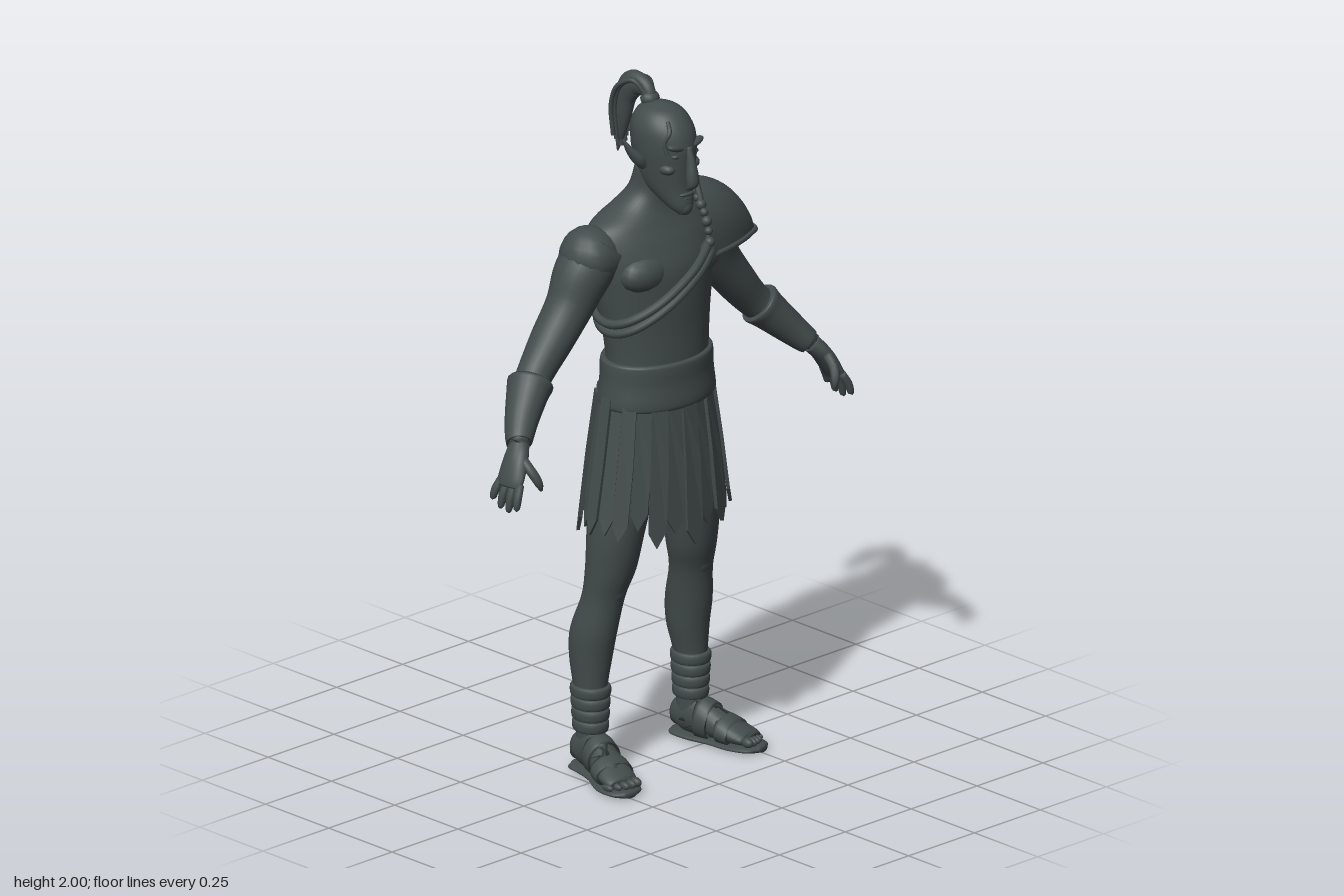
import * as THREE from 'three';

const V = (x, y, z) => new THREE.Vector3(x, y, z);
const skin = new THREE.MeshStandardMaterial({ color: 0x434b4b, side: THREE.DoubleSide });
skin.name = 'dark slate';

// Smooth closed loft through elliptical sections [x, y, z, a, b]; a lies along ref, b across it
function loft(sections, { ref = V(1, 0, 0), level = false, sides = 24, steps = 5, s = 1 } = {}) {
  const path = new THREE.CatmullRomCurve3(sections.map(p => V(p[0], p[1], p[2] * s)), false, 'catmullrom');
  const size = new THREE.CatmullRomCurve3(sections.map(p => V(p[3], p[4], 0)), false, 'catmullrom');
  const rings = (sections.length - 1) * steps, pos = [], idx = [];
  for (let i = 0; i <= rings; i++) {
    const k = i / rings, c = path.getPoint(k), r = size.getPoint(k);
    const t = level ? V(0, Math.sign(sections.at(-1)[1] - sections[0][1]), 0) : path.getTangent(k);
    const u = ref.clone().addScaledVector(t, -t.dot(ref)).normalize();
    const v = t.clone().cross(u);
    for (let j = 0; j < sides; j++) {
      const q = j / sides * Math.PI * 2;
      const p = c.clone().addScaledVector(u, r.x * Math.cos(q)).addScaledVector(v, r.y * Math.sin(q));
      pos.push(p.x, p.y, p.z);
      const n = (j + 1) % sides, a = i * sides;
      if (i < rings) idx.push(a + j, a + n, a + sides + n, a + j, a + sides + n, a + sides + j);
    }
  }
  const base = pos.length / 3, last = rings * sides;
  pos.push(...path.getPoint(0).toArray(), ...path.getPoint(1).toArray());
  for (let j = 0; j < sides; j++) {
    const n = (j + 1) % sides;
    idx.push(base, n, j, base + 1, last + j, last + n);
  }
  const g = new THREE.BufferGeometry();
  g.setAttribute('position', new THREE.Float32BufferAttribute(pos, 3));
  g.setIndex(idx);
  g.computeVertexNormals();
  return g;
}

// Torso sections: x centre, y, z, depth and width radii
const TORSO = [
  [-0.01, 0.88, 0, 0.08, 0.12], [0, 1.0, 0, 0.115, 0.165], [0.003, 1.1, 0, 0.118, 0.168],
  [0.006, 1.2, 0, 0.116, 0.162], [0, 1.3, 0, 0.119, 0.172], [-0.014, 1.4, 0, 0.134, 0.19],
  [-0.022, 1.48, 0, 0.138, 0.203], [-0.032, 1.55, 0, 0.122, 0.21], [-0.036, 1.6, 0, 0.1, 0.19],
  [-0.03, 1.645, 0, 0.077, 0.11], [-0.015, 1.69, 0, 0.062, 0.066], [0.005, 1.76, 0, 0.058, 0.06]];
function torsoAt(y) {
  const i = TORSO.findIndex(p => p[1] > y) - 1, A = TORSO[i], B = TORSO[i + 1];
  return A.map((a, k) => THREE.MathUtils.lerp(a, B[k], (y - A[1]) / (B[1] - A[1])));
}

export function createModel() {
  const model = new THREE.Group();
  model.name = 'warrior';
  const add = (name, geo) => {
    const m = new THREE.Mesh(geo, skin);
    m.name = name;
    model.add(m);
    return m;
  };
  const ball = (name, x, y, z, rx, ry = rx, rz = rx) => {
    const m = add(name, new THREE.SphereGeometry(1, 16, 12));
    m.position.set(x, y, z);
    m.scale.set(rx, ry, rz);
    return m;
  };
  const tube = (name, pts, r, closed = false, n = 24) =>
    add(name, new THREE.TubeGeometry(new THREE.CatmullRomCurve3(pts, closed), n, r, 8, closed));

  add('torso', loft(TORSO, { level: true, sides: 36 }));

  // Head and face
  add('head', loft([[0.112, 1.64, 0, 0.016, 0.018], [0.09, 1.665, 0, 0.045, 0.038], [0.05, 1.715, 0, 0.08, 0.06],
    [0.036, 1.78, 0, 0.098, 0.073], [0.032, 1.835, 0, 0.104, 0.079], [0.026, 1.885, 0, 0.094, 0.076],
    [0.02, 1.925, 0, 0.063, 0.052], [0.018, 1.942, 0, 0.012, 0.01]], { level: true, sides: 32 }));
  add('nose', loft([[0.127, 1.84, 0, 0.012, 0.01], [0.139, 1.8, 0, 0.015, 0.012],
    [0.146, 1.755, 0, 0.018, 0.018], [0.146, 1.73, 0, 0.016, 0.017], [0.136, 1.715, 0, 0.008, 0.012]], { level: true, sides: 14 }));
  ball('chin', 0.117, 1.66, 0, 0.02, 0.024, 0.022);
  ball('upperLip', 0.122, 1.7, 0, 0.014, 0.007, 0.027);
  ball('lowerLip', 0.12, 1.687, 0, 0.014, 0.007, 0.022);

  for (const s of [1, -1]) {
    const side = s > 0 ? 'right' : 'left';
    const part = (name, sections, o = {}) => add(side + name, loft(sections, { s, ...o }));
    const up = V(0, 1, 0);

    ball(side + 'Brow', 0.118, 1.84, 0.033 * s, 0.016, 0.011, 0.034).rotation.x = -0.25 * s;
    ball(side + 'Eye', 0.115, 1.815, 0.034 * s, 0.012, 0.008, 0.015);
    ball(side + 'Cheek', 0.092, 1.775, 0.045 * s, 0.028, 0.017, 0.022);
    part('Ear', [[0.025, 1.775, 0.066, 0.016, 0.016], [0.018, 1.797, 0.085, 0.022, 0.017],
      [0.008, 1.825, 0.107, 0.014, 0.01], [0, 1.857, 0.124, 0.002, 0.002]], { sides: 12 });
    ball(side + 'Pectoral', 0.056, 1.475, 0.09 * s, 0.054, 0.058, 0.09);

    // Arm, bracer and hand
    ball(side + 'Shoulder', -0.045, 1.525, 0.205 * s, 0.088, 0.085, 0.085);
    part('Arm', [[-0.04, 1.55, 0.17, 0.085, 0.08], [-0.048, 1.48, 0.23, 0.082, 0.08], [-0.052, 1.395, 0.278, 0.068, 0.066],
      [-0.053, 1.31, 0.345, 0.062, 0.058], [-0.048, 1.235, 0.41, 0.052, 0.05], [-0.028, 1.185, 0.462, 0.05, 0.046],
      [0.005, 1.13, 0.515, 0.038, 0.036], [0.038, 1.085, 0.556, 0.029, 0.027]]);
    part('Bracer', [[-0.043, 1.215, 0.432, 0.052, 0.048], [-0.042, 1.213, 0.434, 0.066, 0.062], [-0.03, 1.188, 0.458, 0.06, 0.055],
      [0, 1.135, 0.508, 0.048, 0.045], [0.03, 1.093, 0.547, 0.038, 0.036], [0.034, 1.089, 0.551, 0.03, 0.028]]);
    part('Palm', [[0.037, 1.09, 0.552, 0.029, 0.026], [0.052, 1.055, 0.58, 0.04, 0.024],
      [0.061, 1.01, 0.606, 0.046, 0.019], [0.063, 0.985, 0.617, 0.043, 0.014]], { sides: 16 });
    for (let i = 0; i < 4; i++) {
      const x = 0.027 + 0.024 * i, len = [0.045, 0.062, 0.066, 0.054][i];
      part('Finger', [[x, 1.0, 0.61, 0.012, 0.012], [x + (i - 1.2) * 0.005, 0.995 - len * 0.5, 0.627, 0.012, 0.012],
        [x + (i - 1.2) * 0.007, 0.995 - len, 0.634, 0.009, 0.009], [x + (i - 1.2) * 0.007, 0.99 - len, 0.634, 0.003, 0.003]],
        { sides: 8, steps: 3 });
    }
    part('Thumb', [[0.075, 1.06, 0.578, 0.014, 0.016], [0.108, 1.03, 0.573, 0.014, 0.014],
      [0.125, 1.0, 0.563, 0.012, 0.012], [0.128, 0.977, 0.556, 0.004, 0.004]], { sides: 10, steps: 3 });

    // Leg
    part('Leg', [[-0.01, 0.98, 0.09, 0.095, 0.08], [-0.01, 0.82, 0.122, 0.092, 0.088], [-0.01, 0.7, 0.143, 0.08, 0.079],
      [-0.018, 0.6, 0.153, 0.07, 0.071], [-0.033, 0.52, 0.166, 0.061, 0.06], [-0.056, 0.42, 0.18, 0.07, 0.061],
      [-0.064, 0.34, 0.184, 0.064, 0.056], [-0.06, 0.25, 0.19, 0.05, 0.044], [-0.058, 0.15, 0.19, 0.044, 0.036],
      [-0.06, 0.06, 0.19, 0.046, 0.04]], { level: true });
    ball(side + 'Kneecap', 0.008, 0.545, 0.163 * s, 0.026, 0.04, 0.034);
    // Ankle wraps
    for (let i = 0; i < 4; i++) {
      const y = 0.125 + i * 0.034, r = 0.05 + i * 0.002;
      part('AnkleWrap', [[-0.059, y, 0.19, r - 0.008, r - 0.013], [-0.059, y + 0.005, 0.19, r + 0.003, r - 0.004],
        [-0.059, y + 0.028, 0.19, r + 0.004, r - 0.003], [-0.059, y + 0.034, 0.19, r - 0.006, r - 0.011]], { level: true, steps: 3 });
    }
    // Foot and sandal
    part('Foot', [[-0.112, 0.045, 0.19, 0.022, 0.025], [-0.085, 0.065, 0.19, 0.05, 0.04], [-0.04, 0.075, 0.195, 0.06, 0.042],
      [0.01, 0.062, 0.208, 0.046, 0.044], [0.07, 0.045, 0.228, 0.031, 0.052], [0.115, 0.035, 0.242, 0.02, 0.048],
      [0.128, 0.033, 0.245, 0.012, 0.035]], { ref: up });
    part('Sole', [[-0.122, 0.011, 0.19, 0.009, 0.015], [-0.105, 0.011, 0.19, 0.011, 0.038], [-0.05, 0.011, 0.195, 0.011, 0.044],
      [0.01, 0.011, 0.21, 0.011, 0.046], [0.085, 0.011, 0.233, 0.011, 0.062], [0.14, 0.011, 0.247, 0.011, 0.05],
      [0.165, 0.011, 0.252, 0.009, 0.018]], { ref: up });
    for (let i = 0; i < 5; i++)
      ball(side + 'Toe', 0.142 - i * i * 0.0022, 0.033 - i * 0.002, (0.212 + i * 0.018) * s, 0.02, 0.014 - i * 0.001, i ? 0.0095 : 0.013);
    for (const [x, y, z, a, b] of [[-0.005, 0.065, 0.203, 0.056, 0.05], [0.06, 0.045, 0.225, 0.038, 0.057]])
      part('SandalStrap', [[x - 0.02, y + 0.004, z - 0.006, a, b - 0.004], [x - 0.016, y + 0.004, z - 0.005, a + 0.004, b],
        [x + 0.016, y - 0.004, z + 0.005, a - 0.002, b + 0.002], [x + 0.02, y - 0.004, z + 0.006, a - 0.006, b - 0.002]], { ref: up, steps: 3 });
  }

  // Topknot with loose strands
  ball('hairTie', -0.022, 1.94, 0, 0.026, 0.022, 0.028);
  add('ponytail', loft([[-0.015, 1.935, 0, 0.016, 0.018], [-0.04, 1.965, 0, 0.02, 0.028], [-0.085, 1.966, 0, 0.026, 0.038],
    [-0.117, 1.925, 0, 0.025, 0.036], [-0.13, 1.86, 0, 0.02, 0.028], [-0.142, 1.79, 0, 0.01, 0.014],
    [-0.15, 1.75, 0, 0.002, 0.002]], { ref: V(0, 0, 1), sides: 14 }));
  for (let i = -3; i <= 3; i++)
    tube('hairStrand', [V(-0.02, 1.945, i * 0.004), V(-0.055, 1.983 + (i % 2) * 0.006, i * 0.01), V(-0.105, 1.965, i * 0.014),
      V(-0.135, 1.9, i * 0.013), V(-0.135 - 0.004 * (i % 2), 1.77 + Math.abs(i) * 0.012, i * 0.009)], 0.007);
  tube('foreheadLock', [V(0.085, 1.908, 0.035), V(0.108, 1.885, 0.05), V(0.1, 1.855, 0.062), V(0.108, 1.82, 0.058)], 0.006);

  // Belt with rolled edges and a rear plate
  add('belt', loft([[0.004, 1.075, 0, 0.118, 0.168], [0.004, 1.08, 0, 0.132, 0.182], [0.004, 1.1, 0, 0.135, 0.184],
    [0.004, 1.15, 0, 0.13, 0.178], [0.004, 1.195, 0, 0.13, 0.176], [0.004, 1.21, 0, 0.126, 0.172], [0.004, 1.213, 0, 0.11, 0.155]],
    { level: true, sides: 40 }));
  add('beltPlate', new THREE.BoxGeometry(0.016, 0.08, 0.07)).position.set(-0.127, 1.145, 0);

  // Skirt of pointed leather strips in two overlapping layers
  const count = 24, half = Math.PI / count;
  for (let i = 0; i < count; i++) {
    const mid = i / count * Math.PI * 2, outer = i % 2 === 0;
    const tip = 0.715 - 0.035 * Math.max(0, Math.cos(mid)) ** 8 + (outer ? 0 : 0.025) + 0.012 * Math.sin(i * 2.3);
    const w = half * (outer ? 0.98 : 1.05);
    const shape = new THREE.Shape([[-w, 1.11], [-w, 0.93], [-w * 0.9, tip + 0.045], [0, tip], [w * 0.9, tip + 0.045], [w, 0.93], [w, 1.11]]
      .map(p => new THREE.Vector2(...p)));
    const g = new THREE.ExtrudeGeometry(shape, { depth: 0.01, bevelEnabled: false });
    const p = g.attributes.position;
    for (let k = 0; k < p.count; k++) {
      const y = p.getY(k), f = Math.max(0, (1.11 - y) / 0.4), q = mid - p.getX(k);
      const out = p.getZ(k) + (outer ? 0.004 : -0.006);
      p.setXYZ(k, -0.004 + (0.124 + 0.026 * Math.sqrt(f) + out) * Math.cos(q), y, (0.172 + 0.066 * f + out) * Math.sin(q));
    }
    g.computeVertexNormals();
    add('skirtStrip', g);
  }

  // Diagonal chest strap, from the left shoulder around the right ribs
  for (const dy of [-0.014, 0.014]) {
    const pts = [];
    for (let i = 0; i < 32; i++) {
      const q = i / 32 * Math.PI * 2, y = 1.435 - 0.118 * Math.sin(q) + dy, t = torsoAt(y);
      pts.push(V(t[0] + (t[3] + 0.006) * Math.cos(q), y, (t[4] + 0.004) * Math.sin(q)));
    }
    tube('chestStrap', pts, 0.013, true, 80);
  }

  // Left shoulder mantle: open dome flaring to a rim
  const mantlePoint = (a, v) => {
    const top = 1.49 + 0.175 * Math.sqrt(1 - v ** 2.2);
    const wide = 0.124 * Math.sqrt(1 - 0.68 * v * v);
    const hem = 1.475 + 0.01 * v - 0.03 * Math.max(0, -Math.cos(a)) * (1 - v);
    return V(-0.028 + wide * Math.cos(a), hem + (top - hem) * Math.max(0, Math.sin(a)) ** 0.8, -0.115 - 0.222 * v);
  };
  const mantle = new THREE.PlaneGeometry(1, 1, 28, 16), mp = mantle.attributes.position;
  for (let i = 0; i < mp.count; i++) {
    const v = THREE.MathUtils.clamp(mp.getY(i) + 0.5, 0, 1);
    const p = mantlePoint((mp.getX(i) + 0.5) * Math.PI, v);
    mp.setXYZ(i, p.x, p.y, p.z);
  }
  mantle.computeVertexNormals();
  add('leftMantle', mantle);
  for (let i = 0; i <= 20; i++) {
    const p = mantlePoint(i / 20 * Math.PI, 0);
    ball('mantleFringe', p.x, p.y, p.z, 0.012 + 0.003 * (i % 2));
  }
  const rim = [];
  for (let i = 0; i <= 8; i++) rim.push(mantlePoint(0, i / 8));
  for (let i = 8; i >= 0; i--) rim.push(mantlePoint(Math.PI, i / 8));
  tube('mantleRim', rim, 0.008, false, 60);
  tube('mantleTie', [V(0.07, 1.6, -0.115), V(0.045, 1.66, -0.118), V(0.03, 1.69, -0.122)], 0.009);

  return model;
}
